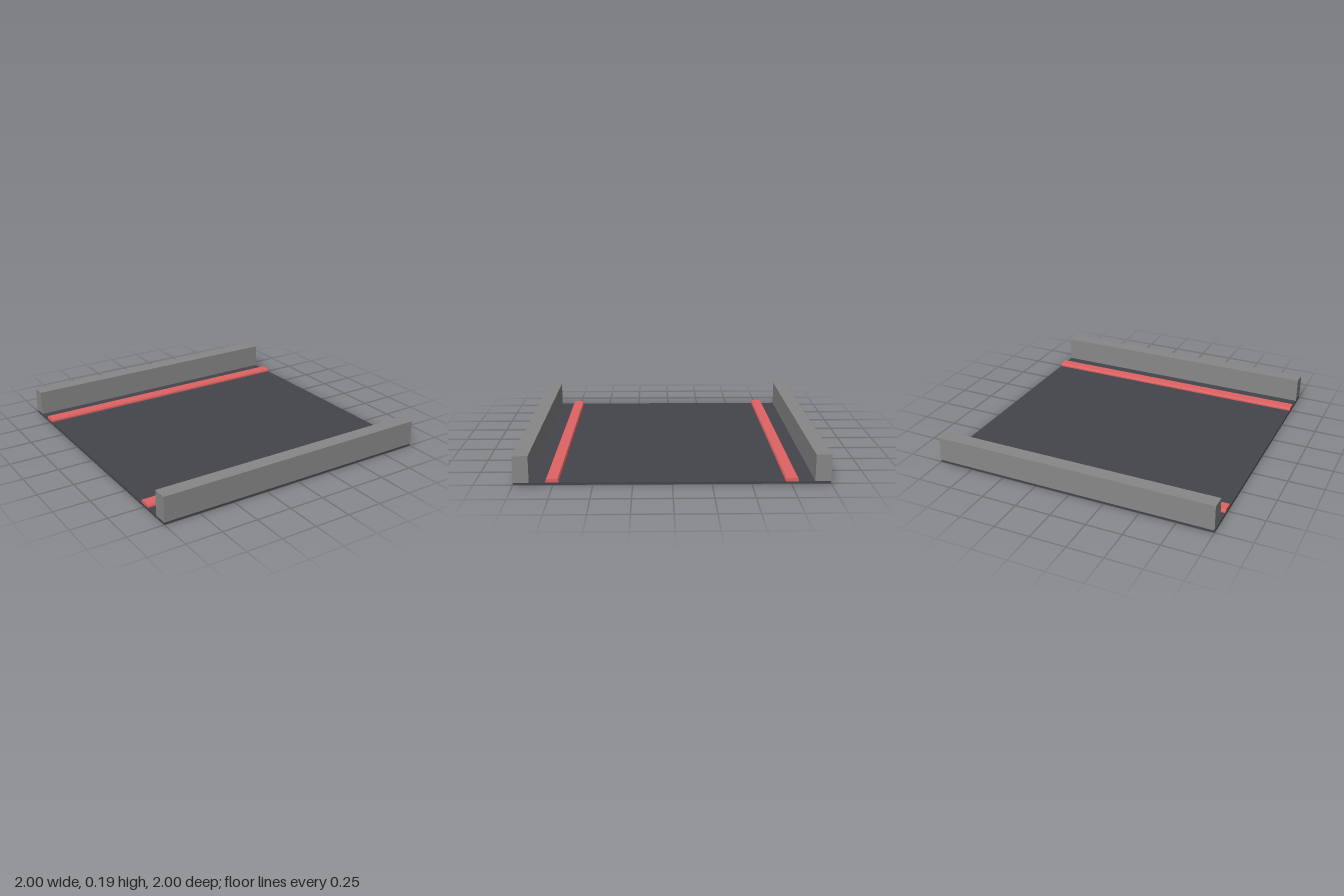
import * as THREE from 'three';

const LENGTH = 2, SLAB = 0.015;

function part(name, geometry, color) {
  const mesh = new THREE.Mesh(geometry, new THREE.MeshStandardMaterial({ color, flatShading: true }));
  mesh.name = name;
  return mesh;
}

// Chamfered rail profile (z across, y up) extruded along x
function railGeometry() {
  const shape = new THREE.Shape([
    [-0.042, 0], [0.042, 0], [0.042, 0.011], [0.035, 0.023], [-0.035, 0.023], [-0.042, 0.011],
  ].map(([z, y]) => new THREE.Vector2(z, y)));
  return new THREE.ExtrudeGeometry(shape, { depth: LENGTH, bevelEnabled: false })
    .translate(0, 0, -LENGTH / 2)
    .rotateY(Math.PI / 2);
}

export function createModel() {
  const model = new THREE.Group();
  model.name = 'trackSection';

  // Thin road slab
  const road = part('road', new THREE.BoxGeometry(LENGTH, SLAB, 2), 0x44444c);
  road.position.y = SLAB / 2;
  model.add(road);

  // Side walls and marker rails, mirrored front and back
  for (const [side, s] of [['front', 1], ['back', -1]]) {
    const wallHeight = 0.19 - SLAB;
    const wall = part(side + 'Wall', new THREE.BoxGeometry(LENGTH, wallHeight, 0.1), 0x888888);
    wall.position.set(0, SLAB + wallHeight / 2, s * 0.95);

    const rail = part(side + 'Rail', railGeometry(), 0xe06464);
    rail.position.set(0, SLAB, s * 0.755);
    model.add(wall, rail);
  }
  return model;
}
